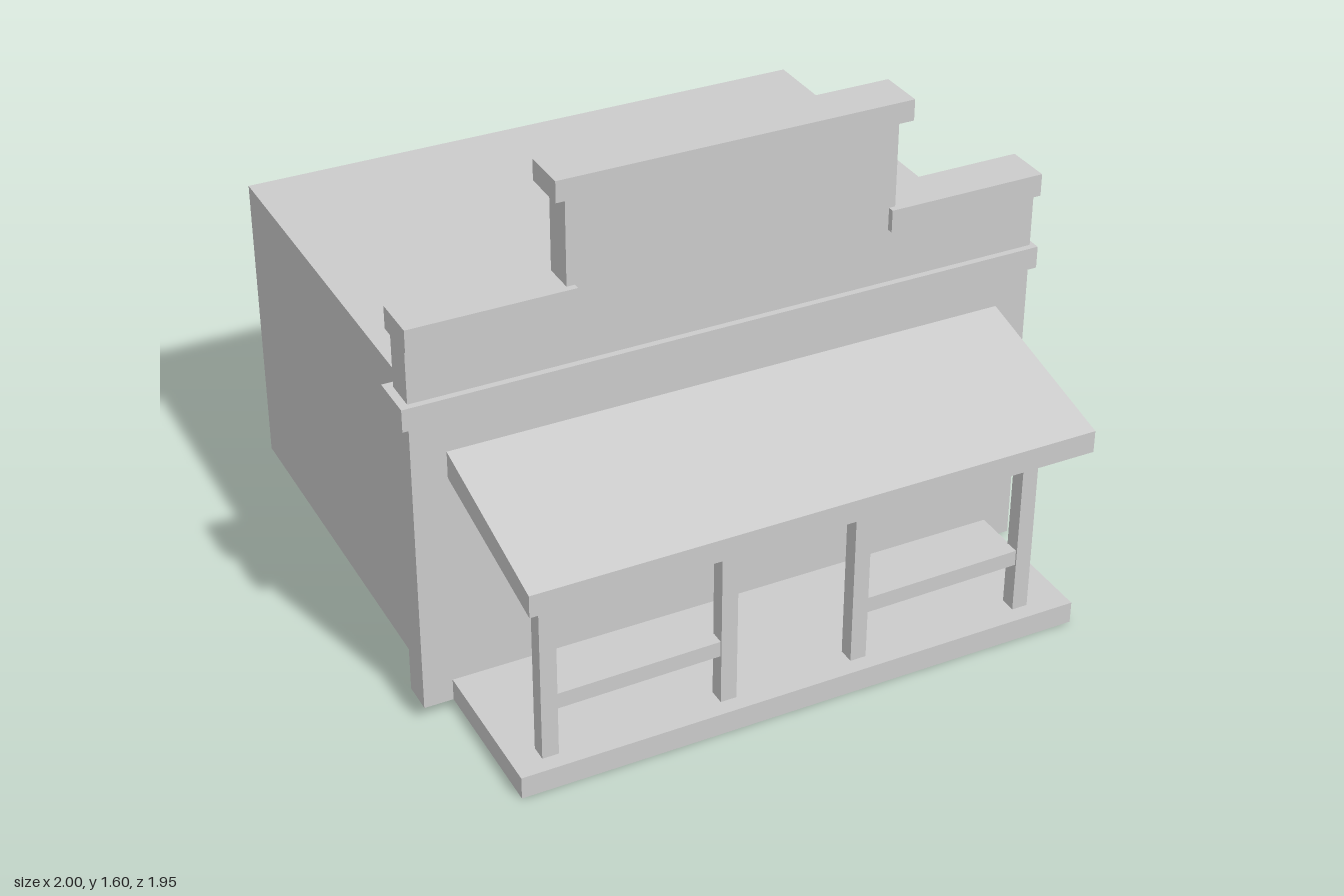
import * as THREE from 'three';

const material = new THREE.MeshStandardMaterial({ color: 0xcccccc, flatShading: true, side: THREE.DoubleSide });

// Keep only the triangles whose face normal passes the test
function keepFaces(geometry, test) {
  const src = geometry.index ? geometry.toNonIndexed() : geometry;
  const p = src.attributes.position;
  const tri = new THREE.Triangle();
  const n = new THREE.Vector3();
  const out = [];
  for (let i = 0; i < p.count; i += 3) {
    tri.setFromAttributeAndIndices(p, i, i + 1, i + 2);
    tri.getNormal(n);
    if (test(n)) for (const v of [tri.a, tri.b, tri.c]) out.push(v.x, v.y, v.z);
  }
  const result = new THREE.BufferGeometry();
  result.setAttribute('position', new THREE.Float32BufferAttribute(out, 3));
  result.computeVertexNormals();
  return result;
}

const notBottom = (n) => n.y > -0.9;

export function createModel() {
  const model = new THREE.Group();
  model.name = 'storefront';

  const add = (name, geometry) => {
    const mesh = new THREE.Mesh(geometry, material);
    mesh.name = name;
    model.add(mesh);
    return mesh;
  };

  // Box given by its limits on each axis, optionally with faces left out
  const box = (name, [x0, x1], [y0, y1], [z0, z1], test) => {
    const g = new THREE.BoxGeometry(x1 - x0, y1 - y0, z1 - z0);
    const mesh = add(name, test ? keepFaces(g, test) : g);
    mesh.position.set((x0 + x1) / 2, (y0 + y1) / 2, (z0 + z1) / 2);
    return mesh;
  };

  // Main building shell, open below and against the facade
  box('building', [-0.93, 0.94], [0.04, 1.0], [-0.975, 0.34], (n) => notBottom(n) && n.z < 0.9);

  // Stepped false front, hollow from below
  const outline = new THREE.Shape([
    [-0.975, 0], [0.985, 0], [0.985, 1.2], [0.515, 1.2],
    [0.515, 1.54], [-0.505, 1.54], [-0.505, 1.2], [-0.975, 1.2],
  ].map(([x, y]) => new THREE.Vector2(x, y)));
  const facade = new THREE.ExtrudeGeometry(outline, { depth: 0.1, bevelEnabled: false });
  add('facade', keepFaces(facade, notBottom)).position.z = 0.34;

  // Mouldings across the facade
  const trimZ = [0.315, 0.46];
  box('cornice', [-1, 1], [0.95, 1.02], trimZ);
  box('rightCap', [-0.98, -0.48], [1.19, 1.26], trimZ);
  box('leftCap', [0.495, 0.995], [1.19, 1.26], trimZ);
  box('topCap', [-0.54, 0.55], [1.53, 1.595], trimZ);

  // Sloping porch roof: side profile drawn in (-z, y), extruded along x
  const profile = new THREE.Shape([
    [-0.44, 0.755], [-0.44, 0.84], [-0.975, 0.71], [-0.975, 0.64],
  ].map(([x, y]) => new THREE.Vector2(x, y)));
  const roof = new THREE.ExtrudeGeometry(profile, { depth: 1.75, bevelEnabled: false });
  roof.rotateY(Math.PI / 2);
  add('porchRoof', roof).position.x = -0.87;

  // Porch deck, open below
  box('porchDeck', [-0.885, 0.895], [0, 0.07], [0.44, 0.92], notBottom);

  // Porch posts, hollow ends reaching just under the deck
  for (const x of [-0.775, -0.225, 0.195, 0.745]) {
    box('porchPost', [x - 0.025, x + 0.025], [0.04, 0.67], [0.82, 0.87], notBottom);
  }

  // Slightly crooked rails either side of the entrance
  for (const x of [-0.5, 0.47]) {
    box('porchRail', [x - 0.26, x + 0.26], [0.225, 0.275], [0.825, 0.865]).rotation.z = 0.012;
  }

  return model;
}
